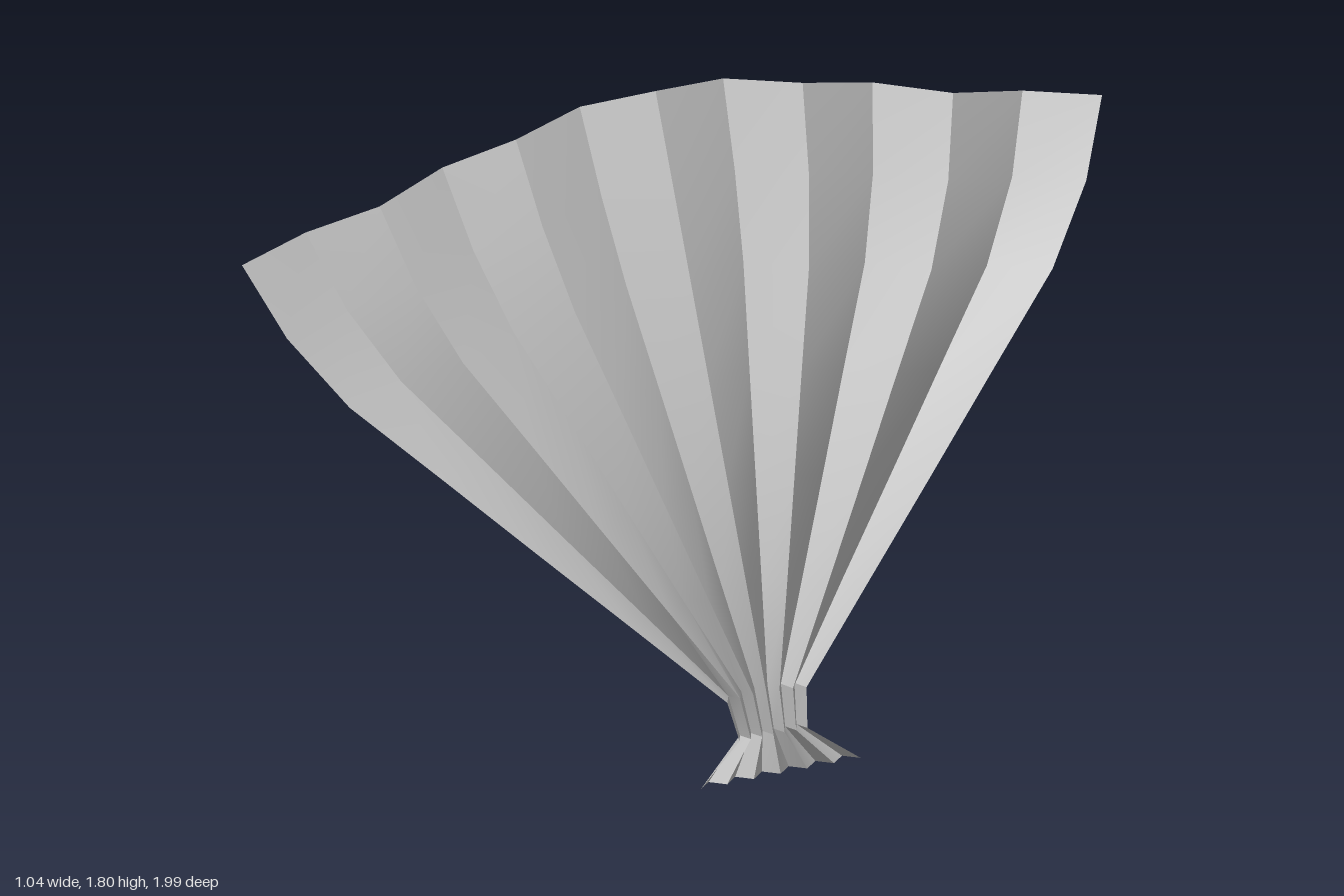
import * as THREE from 'three';
import { toCreasedNormals } from 'three/addons/utils/BufferGeometryUtils.js';

// Axes of the tilted fan: across the pleats, up the pleats, and through the sheet
const ACROSS = new THREE.Vector3(0.4437, 0.1531, -0.8829);
const UP = new THREE.Vector3(-0.2497, 0.9679, 0.0424);
const THROUGH = new THREE.Vector3(0.862, 0.202, 0.466);

const PLEATS = 12;
const CENTRE = 0.247;
const DEPTH = 0.112;
// Rise of the scalloped rim at each fold, from the outer edge to the middle
const RIM_RISE = [0, 0.036, 0.08, 0.132, 0.181, 0.217, 0.234];

// Cross-sections from foot to rim: height, half width, middle of the sheet, share of rim rise
const ROWS = [
  [-0.05, 0.21, 0.238, 0],
  [0.053, 0.089, 0.24, 0],
  [0.159, 0.104, 0.258, 0.05],
  [0.393, 0.308, 0.258, 0.2],
  [0.627, 0.513, 0.258, 0.38],
  [0.862, 0.717, 0.258, 0.55],
  [1.096, 0.922, 0.258, 0.72],
  [1.302, 1.048, 0.258, 0.86],
  [1.511, 1.128, 0.258, 1],
];

// A zigzag sheet through the given rows
function pleatedSheet(rows) {
  const positions = [];
  const indices = [];
  for (const [height, halfWidth, middle, rise] of rows) {
    for (let i = 0; i <= PLEATS; i++) {
      const u = CENTRE + halfWidth * (2 * i / PLEATS - 1);
      const v = height + rise * RIM_RISE[Math.min(i, PLEATS - i)];
      const w = middle + (i % 2 ? -0.5 : 0.5) * DEPTH;
      const p = new THREE.Vector3()
        .addScaledVector(ACROSS, u)
        .addScaledVector(UP, v)
        .addScaledVector(THROUGH, w);
      positions.push(p.x, p.y, p.z);
    }
  }
  const n = PLEATS + 1;
  for (let j = 0; j < rows.length - 1; j++) {
    for (let i = 0; i < PLEATS; i++) {
      const a = j * n + i;
      indices.push(a, a + 1, a + n + 1, a, a + n + 1, a + n);
    }
  }
  const geometry = new THREE.BufferGeometry();
  geometry.setAttribute('position', new THREE.Float32BufferAttribute(positions, 3));
  geometry.setIndex(indices);
  return toCreasedNormals(geometry, 0.4);
}

export function createModel() {
  const group = new THREE.Group();
  group.name = 'pleatedFan';
  const material = new THREE.MeshStandardMaterial({ color: 0xcccccc, side: THREE.DoubleSide });

  // Large fan of pleats above the pinch
  const leaf = new THREE.Mesh(pleatedSheet(ROWS.slice(1)), material);
  leaf.name = 'fanLeaf';

  // Short flared foot below the pinch
  const foot = new THREE.Mesh(pleatedSheet(ROWS.slice(0, 2)), material);
  foot.name = 'flaredFoot';

  group.add(leaf, foot);
  return group;
}
